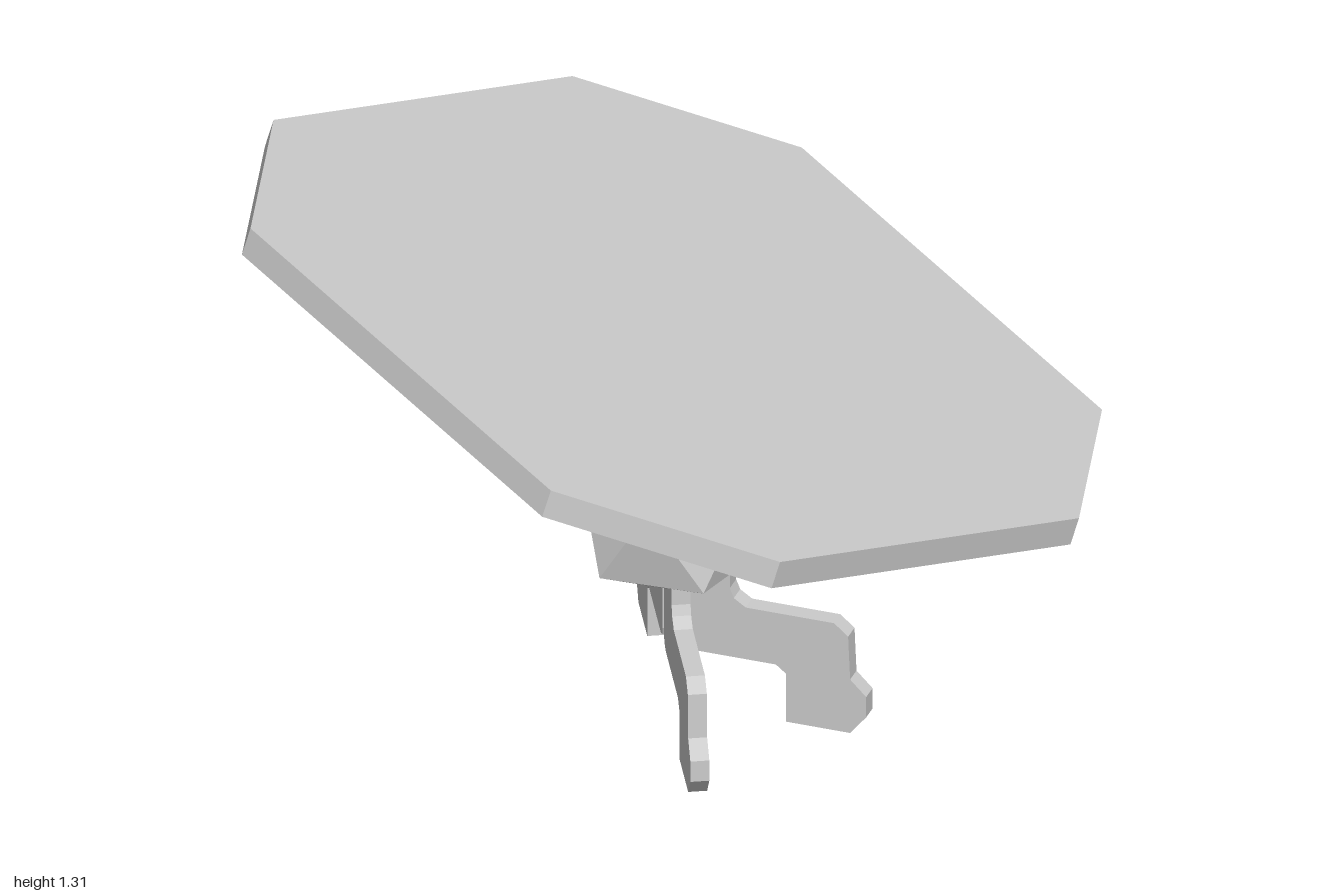
import * as THREE from 'three';
import { ConvexGeometry } from 'three/addons/geometries/ConvexGeometry.js';

const grey = new THREE.MeshStandardMaterial({ color: 0xcccccc, flatShading: true });
const deg = Math.PI / 180;

function part(name, geometry) {
  const mesh = new THREE.Mesh(geometry, grey);
  mesh.name = name;
  return mesh;
}

// Corners of a rectangle with cut corners
function octagon(w, d, cw, cd) {
  return [[w, -cd], [w, cd], [cw, d], [-cw, d], [-w, cd], [-w, -cd], [-cw, -d], [cw, -d]]
    .map(([x, y]) => new THREE.Vector2(x, y));
}

// Flat slab hanging downward from y = top
function slab(outline, hole, top, thickness) {
  const shape = new THREE.Shape(outline);
  if (hole) shape.holes.push(new THREE.Path(hole));
  const g = new THREE.ExtrudeGeometry(shape, { depth: thickness, bevelEnabled: false });
  return g.rotateX(Math.PI / 2).translate(0, top, 0);
}

// Upright plate cut from a (radius, height) profile, turned about the centre
function radialPlate(name, points, angle) {
  const t = 0.045;
  const shape = new THREE.Shape(points.map(([r, y]) => new THREE.Vector2(r, y)));
  const g = new THREE.ExtrudeGeometry(shape, { depth: t, bevelEnabled: false });
  const mesh = part(name, g.translate(0, 0, -t / 2));
  mesh.rotation.y = angle * deg;
  return mesh;
}

// Bracket: upright post with an arm bent outward at the top
const bracketProfile = (reach, top, under) => [
  [0.012, 0.55], [0.15, 0.55], [0.15, under - 0.02], [0.17, under],
  [reach - 0.05, under], [reach - 0.015, under + 0.015], [reach, under + 0.05],
  [reach, top], [0.03, top], [0.012, top - 0.04],
];

const legProfile = [
  [0.012, 0.46], [0.012, 0.18], [0.02, 0.16], [0.045, 0.15],
  [0.265, 0.15], [0.29, 0.13], [0.29, 0],
  [0.45, 0], [0.49, 0.05], [0.49, 0.105], [0.45, 0.145],
  [0.445, 0.26], [0.41, 0.29], [0.19, 0.29], [0.16, 0.31], [0.15, 0.335], [0.15, 0.46],
];

export function createModel() {
  const model = new THREE.Group();
  model.name = 'tiltedTable';

  // Tilted top with a raised rim underneath
  const top = new THREE.Group();
  top.name = 'tiltedTop';
  top.add(part('topPlate', slab(octagon(0.99, 0.863, 0.587, 0.468), null, 0, 0.073)));
  top.add(part('undersideRim', slab(
    octagon(0.66, 0.66, 0.36, 0.355), octagon(0.62, 0.62, 0.343, 0.338), -0.07, 0.09)));
  top.position.set(0.003, 1.022, -0.008);
  top.rotation.set(-0.235, 0, -0.154, 'ZYX');
  model.add(top);

  // Faceted joint: two five-sided rings and two tips
  const points = [new THREE.Vector3(0, 0.715, 0), new THREE.Vector3(0, 0.29, 0)];
  for (let i = 0; i < 5; i++) {
    const a = i * 72 * deg;
    const x = 0.217 * Math.sin(a), z = 0.217 * Math.cos(a);
    points.push(new THREE.Vector3(x, 0.61, -z), new THREE.Vector3(x, 0.397, z));
  }
  model.add(part('joint', new ConvexGeometry(points)));

  // Three legs below the joint, three brackets above it
  const angles = [-30, 150, 33];
  angles.forEach((angle, i) => {
    model.add(radialPlate('leg' + (i + 1), legProfile, angle));
    const profile = i < 2 ? bracketProfile(0.455, 0.945, 0.812) : bracketProfile(0.26, 0.91, 0.815);
    model.add(radialPlate('bracket' + (i + 1), profile, angle));
  });

  return model;
}
